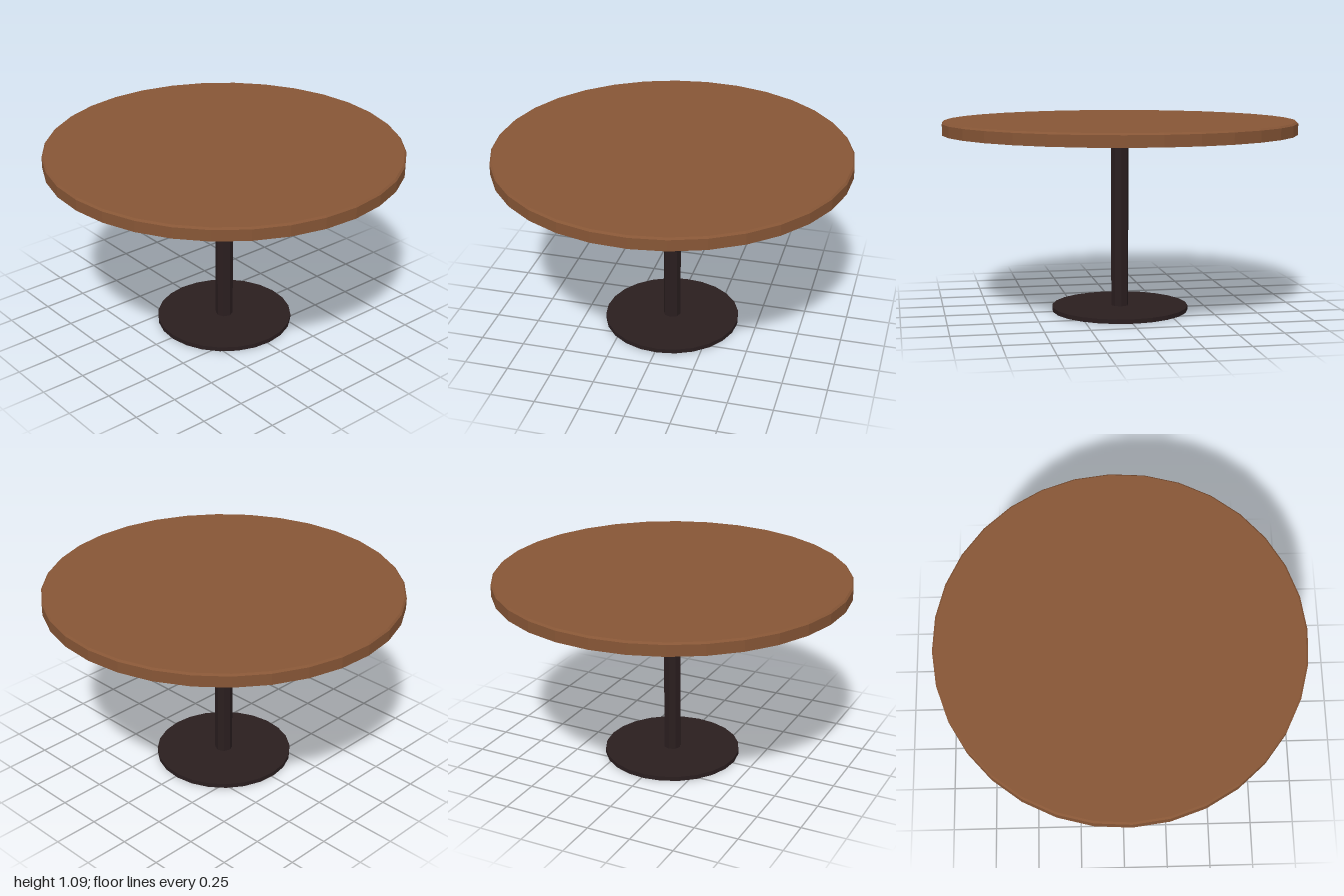
import * as THREE from 'three';

export function createModel() {
  const table = new THREE.Group();
  table.name = 'pedestalTable';
  const wood = new THREE.MeshStandardMaterial({ color: 0x875636, flatShading: true, side: THREE.DoubleSide });
  wood.name = 'brown wood';
  const metal = new THREE.MeshStandardMaterial({ color: 0x2a1e1f, flatShading: true, side: THREE.DoubleSide });
  metal.name = 'dark metal';

  // Adds one turned shell from [radius, height] points, bottom to top
  const turned = (name, points, sides, material) => {
    const profile = points.map(([r, y]) => new THREE.Vector2(r, y));
    const part = new THREE.Mesh(new THREE.LatheGeometry(profile, sides), material);
    part.name = name;
    part.rotation.y = 0.037;
    table.add(part);
  };

  // Round top, hollow underneath, with a small chamfer on its upper edge
  turned('tableTop', [[1, 1.018], [1, 1.08], [0.99, 1.09], [0, 1.09]], 32, wood);
  // Slim eight-sided column
  turned('column', [[0.05, 0.025], [0.05, 1.045], [0, 1.045]], 8, metal);
  // Flat round foot plate, open underneath
  turned('base', [[0.39, 0], [0.39, 0.025], [0, 0.025]], 24, metal);

  return table;
}
